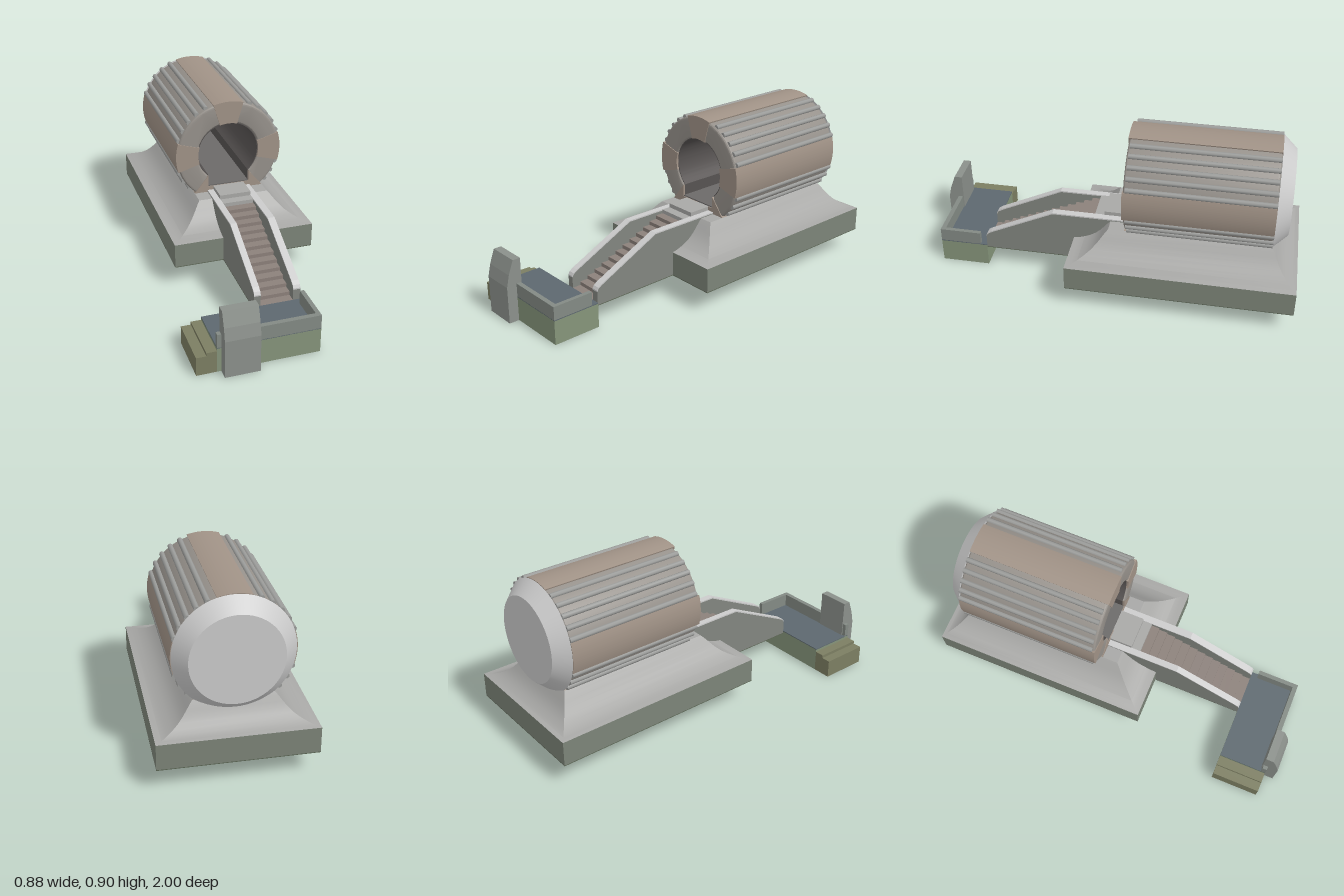
import * as THREE from 'three';
import { toCreasedNormals } from 'three/addons/utils/BufferGeometryUtils.js';

const paint = (color) => new THREE.MeshStandardMaterial({ color });
const grey = paint(0xcccccc);
const stone = paint(0xa8a8a6), skirtGreen = paint(0x7c8478), darkGreen = paint(0x5c6654);
const panelBrown = paint(0xa09286), shellGrey = paint(0x96918b), ribGrey = paint(0x9c9d9b);
const insideDark = paint(0x575352), insideFloor = paint(0x6c6a69);
const stairBrown = paint(0x8c817b), wallGrey = paint(0x82857f);
const platformGreen = paint(0x85947a), floorBlue = paint(0x5d686f);
const parapetGrey = paint(0x838a84), stepOlive = paint(0x7c7e62), postGrey = paint(0x8b908b);

const CX = 0.0535, CY = 0.608; // barrel axis
const R = 0.294, BODY_R = 0.287, DOOR_R = 0.17;
const FRONT = -0.095, REAR = -0.86;
const rad = THREE.MathUtils.degToRad;

function add(parent, name, geometry, material = grey) {
  const mesh = new THREE.Mesh(geometry, material);
  mesh.name = name;
  parent.add(mesh);
  return mesh;
}

// Box given by its limits on each axis
function box(parent, name, [x0, x1], [y0, y1], [z0, z1], material) {
  const g = new THREE.BoxGeometry(x1 - x0, y1 - y0, z1 - z0);
  g.translate((x0 + x1) / 2, (y0 + y1) / 2, (z0 + z1) / 2);
  return add(parent, name, g, material);
}

// Outline in (z, y) extruded across x
function sideProfile(parent, name, points, x0, x1, material) {
  const shape = new THREE.Shape(points.map(([z, y]) => new THREE.Vector2(z, y)));
  const g = new THREE.ExtrudeGeometry(shape, { depth: x1 - x0, bevelEnabled: false });
  g.rotateY(-Math.PI / 2);
  g.translate(x1, 0, 0);
  return add(parent, name, g, material);
}

// Outline in the barrel's cross-section extruded from z0 back to z1
function alongBarrel(parent, name, shape, z0, z1, material, bevel = 0) {
  const g = new THREE.ExtrudeGeometry(shape, {
    depth: z0 - z1 - bevel * 2, curveSegments: 48, bevelEnabled: bevel > 0,
    bevelSize: bevel, bevelThickness: bevel, bevelOffset: -bevel, bevelSegments: 3,
  });
  g.translate(CX, CY, z1 + bevel);
  return add(parent, name, toCreasedNormals(g, 0.5), material);
}

// Keyhole outline of the doorway: round above, square below
function keyhole(path, scale = 1) {
  const corner = Math.asin(0.115 / 0.17);
  path.absarc(0, 0, DOOR_R * scale, -Math.PI / 2 + corner, 1.5 * Math.PI - corner);
  path.lineTo(-0.115 * scale, -0.189 * scale);
  path.lineTo(0.115 * scale, -0.189 * scale);
  path.closePath();
  return path;
}

// Plinth top: rectangular rings lofted up a concave slope
function slopeGeometry() {
  const profile = [[0, 0.252], [0.15, 0.258], [0.3, 0.268], [0.45, 0.281],
    [0.6, 0.3], [0.72, 0.322], [0.82, 0.345], [0.92, 0.37], [1, 0.387]];
  const rings = profile.map(([f, y]) => {
    const hx = 0.386 - 0.193 * f, zf = 0.19 - 0.2 * f, zb = -1 + 0.14 * f;
    return [[CX - hx, y, zf], [CX + hx, y, zf], [CX + hx, y, zb], [CX - hx, y, zb]];
  });
  const pos = [];
  const quad = (a, b, c, d) => pos.push(...a, ...b, ...c, ...a, ...c, ...d);
  for (let i = 0; i < rings.length - 1; i++) {
    for (let k = 0; k < 4; k++) {
      const n = (k + 1) % 4;
      quad(rings[i][k], rings[i][n], rings[i + 1][n], rings[i + 1][k]);
    }
  }
  quad(...rings[rings.length - 1]);
  const g = new THREE.BufferGeometry();
  g.setAttribute('position', new THREE.Float32BufferAttribute(pos, 3));
  return toCreasedNormals(g, 0.5);
}

function buildPlinth() {
  const plinth = new THREE.Group();
  plinth.name = 'plinth';
  const x = [CX - 0.386, CX + 0.386], z = [-1, 0.19];
  add(plinth, 'slope', slopeGeometry(), stone);
  box(plinth, 'skirt', x, [0.121, 0.252], z, skirtGreen);
  box(plinth, 'underside', x, [0.117, 0.121], z, darkGreen);
  return plinth;
}

function buildBarrel() {
  const barrel = new THREE.Group();
  barrel.name = 'barrel';

  // Round shell with a keyhole doorway
  const shell = new THREE.Shape().absarc(0, 0, BODY_R, 0, Math.PI * 2);
  shell.holes.push(keyhole(new THREE.Path()));
  alongBarrel(barrel, 'shell', shell, FRONT - 0.004, REAR, shellGrey, 0.014);

  // Dark lining, floor and end wall of the inside
  const lining = keyhole(new THREE.Shape(), 1.005);
  lining.holes.push(keyhole(new THREE.Path(), 0.98));
  alongBarrel(barrel, 'lining', lining, FRONT - 0.012, REAR, insideDark);
  alongBarrel(barrel, 'endWall', keyhole(new THREE.Shape()), REAR + 0.006, REAR, insideDark);
  box(barrel, 'insideFloor', [CX - 0.113, CX + 0.113], [0.417, 0.425], [REAR, FRONT - 0.005], insideFloor);

  // Raised plain panels on the top and both sides
  for (const mid of [0, 90, 180]) {
    const a = rad(mid - 16.4), b = rad(mid + 16.4);
    const panel = new THREE.Shape();
    panel.absarc(0, 0, R, a, b, false);
    panel.absarc(0, 0, DOOR_R, b, a, true);
    alongBarrel(barrel, 'panel', panel, FRONT, REAR, panelBrown);
  }

  // Lower panel around the foot of the doorway
  const foot = new THREE.Shape();
  foot.absarc(0, 0, R, rad(229), rad(311), false);
  foot.lineTo(0.115, -0.125);
  foot.lineTo(0.115, -0.189);
  foot.lineTo(-0.115, -0.189);
  foot.lineTo(-0.115, -0.125);
  alongBarrel(barrel, 'doorSurround', foot, FRONT, REAR, panelBrown);

  // Lengthwise ribs between the panels
  const length = 0.75;
  const ribGeometry = new THREE.CylinderGeometry(0.014, 0.014, length, 8).rotateX(Math.PI / 2);
  for (const [start, count] of [[25, 5], [109, 3]]) {
    for (let i = 0; i < count; i++) {
      for (const side of [-1, 1]) {
        const a = rad(start + i * 11.5);
        const rib = add(barrel, 'rib', ribGeometry, ribGrey);
        rib.position.set(CX + side * Math.sin(a) * 0.288, CY + Math.cos(a) * 0.288, REAR + length / 2);
        rib.rotation.z = -side * a;
      }
    }
  }

  // Tapered closed rear end
  const cap = new THREE.CylinderGeometry(0.291, 0.224, 0.072, 64).rotateX(Math.PI / 2);
  add(barrel, 'rearCap', cap).position.set(CX, CY, REAR - 0.036);
  return barrel;
}

function buildStairs() {
  const stairs = new THREE.Group();
  stairs.name = 'stairs';
  // Side walls with a pale coping along the top
  const top = [[0.684, 0.2], [0.676, 0.215], [0.655, 0.229], [0.305, 0.398], [-0.1, 0.398]];
  const lowered = top.map(([z, y]) => [z, y - 0.007]);
  const wall = [[0.684, 0.121], ...lowered, [-0.1, 0.121]];
  const coping = [...top, ...lowered.reverse()];
  for (const [x0, x1] of [[-0.067, -0.033], [0.137, 0.175]]) {
    sideProfile(stairs, 'sideWall', wall, x0, x1, wallGrey);
    sideProfile(stairs, 'coping', coping, x0, x1, grey);
  }
  const count = 13, run = 0.604 / count, rise = 0.02;
  for (let i = 0; i < count; i++) {
    const z = 0.684 - i * run;
    box(stairs, 'step', [-0.033, 0.137], [0.121, 0.135 + i * rise], [z - run, z], stairBrown);
  }
  box(stairs, 'landing', [-0.033, 0.137], [0.121, 0.396], [-0.1, 0.08], stone);
  box(stairs, 'threshold', [-0.034, 0.139], [0.38, 0.419], [-0.12, 0.03], stone);
  box(stairs, 'underside', [-0.067, 0.175], [0.117, 0.121], [0.19, 0.684], darkGreen);
  return stairs;
}

function buildPlatform() {
  const platform = new THREE.Group();
  platform.name = 'platform';
  const x = [-0.338, 0.179], z = [0.684, 0.945];
  box(platform, 'base', x, [0, 0.13], z, platformGreen);
  box(platform, 'floor', x, [0.13, 0.135], z, floorBlue);
  box(platform, 'upperEndStep', [-0.39, -0.338], [0, 0.117], z, stepOlive);
  box(platform, 'lowerEndStep', [-0.44, -0.39], [0, 0.1], z, stepOlive);
  // Low parapet on the front and left edges
  box(platform, 'frontParapet', x, [0.13, 0.207], [0.92, 0.945], parapetGrey);
  box(platform, 'sideParapet', [0.157, 0.179], [0.13, 0.207], [0.72, 0.92], parapetGrey);
  // Tapered post standing in front
  const post = [[1, 0], [1, 0.2], [0.985, 0.265], [0.957, 0.34], [0.915, 0.34], [0.915, 0]];
  sideProfile(platform, 'post', post, -0.318, -0.143, postGrey);
  return platform;
}

export function createModel() {
  const model = new THREE.Group();
  model.name = 'barrelHouse';
  model.add(buildPlinth(), buildBarrel(), buildStairs(), buildPlatform());
  return model;
}
